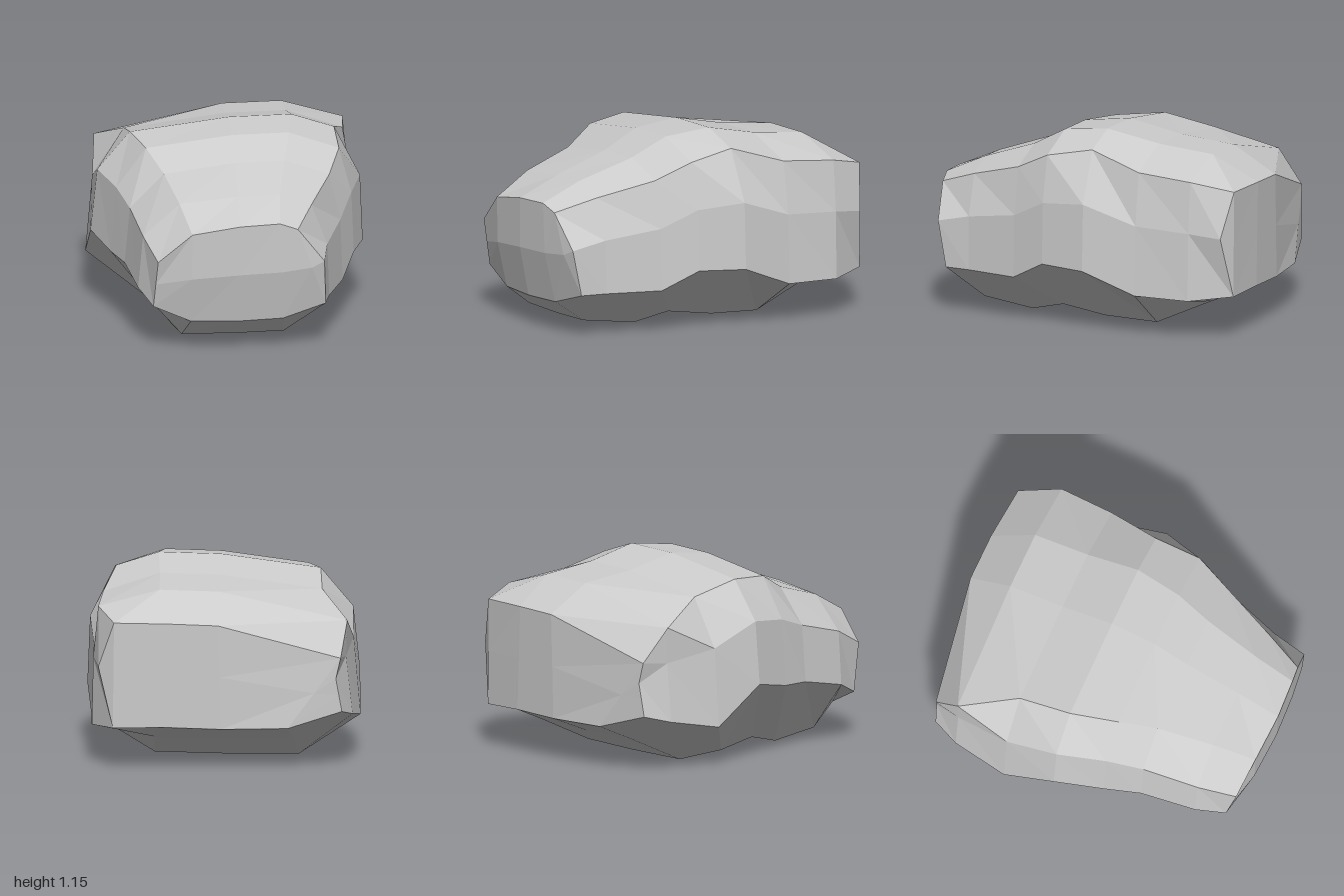
import * as THREE from 'three';

const mix = THREE.MathUtils.lerp;

// One cross-section, from bottom left round to lower left.
// left/right: half widths; low, lowL: heights of the lower edges;
// high, highL: heights of the upper edges; crest, crestL: how far out those sit.
function section({ z, left, right, bottom, low, lowL, high, highL, top, crest, crestL }) {
  const bulge = z ** 9;
  const front = Math.max(0, bulge), back = Math.max(0, -bulge);
  const outline = [
    [-0.55 * left, bottom],
    [0, bottom],
    [0.52 * right, bottom + 0.01],
    [right, low],
    [0.98 * right + 0.1 * back, mix(low, high, 0.57)],
    [crest * right, high],
    [0.48 * right, top],
    [0.02, top - 0.01],
    [-crestL * left, highL],
    [-0.95 * left, mix(lowL, highL, 0.62)],
    [-left, lowL],
  ];
  // the end faces curve back at the sides, and the front one is undercut
  return outline.map(([x, y]) => {
    const bow = z < 0 && x > 0 ? x ** 8 : 0.22 * x * x;
    return [x, y, z - bulge * bow - 0.22 * front * Math.max(0, 0.5 - y)];
  });
}

// Skin a row of sections from front to back and close both ends
function loft(rings) {
  const pos = [];
  const tri = (...corners) => corners.forEach((c) => pos.push(...c));
  const quad = (a, b, c, d) => {
    tri(a, b, c);
    tri(c, b, d);
  };
  const n = rings[0].length, last = rings.length - 1;
  for (let j = 0; j < n; j++) {
    const k = (j + 1) % n;
    for (let i = 0; i < last; i++) {
      quad(rings[i][j], rings[i + 1][j], rings[i][k], rings[i + 1][k]);
    }
  }

  // end face: upright columns joining upper and lower corners, bent at mid height by push
  const cap = (ring, push, flip) => {
    const columns = [[9, 10], [8, 0], [7, 1], [6, 2], [5, 3]].map(([u, l], i) => {
      const mid = ring[u].map((v, axis) => (v + ring[l][axis]) / 2);
      if (i > 0) mid[2] += push;
      return [ring[u], mid, ring[l]];
    });
    for (let i = 0; i < 4; i++) {
      const [p, q] = flip ? [columns[i + 1], columns[i]] : [columns[i], columns[i + 1]];
      quad(p[0], p[1], q[0], q[1]);
      quad(p[1], p[2], q[1], q[2]);
    }
    const edge = flip ? columns[4].slice().reverse() : columns[4];
    tri(edge[0], edge[1], ring[4]);
    tri(edge[1], edge[2], ring[4]);
  };
  cap(rings[0], 0.03, false);
  cap(rings[last], 0, true);

  const geo = new THREE.BufferGeometry();
  geo.setAttribute('position', new THREE.Float32BufferAttribute(pos, 3));
  geo.computeVertexNormals();
  return geo;
}

export function createModel() {
  const group = new THREE.Group();
  group.name = 'rock';

  const rings = [
    // blunt front face and its shoulder
    { z: 1.0, left: 0.49, right: 0.53, bottom: 0.18, low: 0.27, lowL: 0.27, high: 0.75, highL: 0.73, top: 0.79, crest: 0.68, crestL: 0.54 },
    { z: 0.74, left: 0.57, right: 0.56, bottom: 0.05, low: 0.27, lowL: 0.34, high: 0.83, highL: 0.85, top: 0.9, crest: 0.81, crestL: 0.57 },
    // step up to the crown
    { z: 0.41, left: 0.63, right: 0.66, bottom: 0.01, low: 0.27, lowL: 0.4, high: 0.92, highL: 0.94, top: 1.01, crest: 0.88, crestL: 0.63 },
    { z: 0.2, left: 0.7, right: 0.74, bottom: 0.06, low: 0.38, lowL: 0.41, high: 1.02, highL: 1.04, top: 1.12, crest: 0.88, crestL: 0.7 },
    // crown
    { z: -0.08, left: 0.8, right: 0.81, bottom: 0.02, low: 0.37, lowL: 0.46, high: 1.07, highL: 1.06, top: 1.15, crest: 0.79, crestL: 0.71 },
    { z: -0.4, left: 0.81, right: 0.78, bottom: 0, low: 0.24, lowL: 0.24, high: 0.97, highL: 0.99, top: 1.08, crest: 0.91, crestL: 0.72 },
    // rear slope and broad back face
    { z: -0.74, left: 0.77, right: 0.77, bottom: 0.15, low: 0.23, lowL: 0.3, high: 0.94, highL: 0.86, top: 1.04, crest: 0.95, crestL: 0.96 },
    { z: -1.0, left: 0.71, right: 0.64, bottom: 0.25, low: 0.25, lowL: 0.34, high: 0.88, highL: 0.66, top: 0.88, crest: 0.99, crestL: 0.99 },
  ].map(section);

  const boulder = new THREE.Mesh(
    loft(rings),
    new THREE.MeshStandardMaterial({ color: 0xcccccc, flatShading: true }),
  );
  boulder.name = 'boulder';
  group.add(boulder);
  return group;
}
